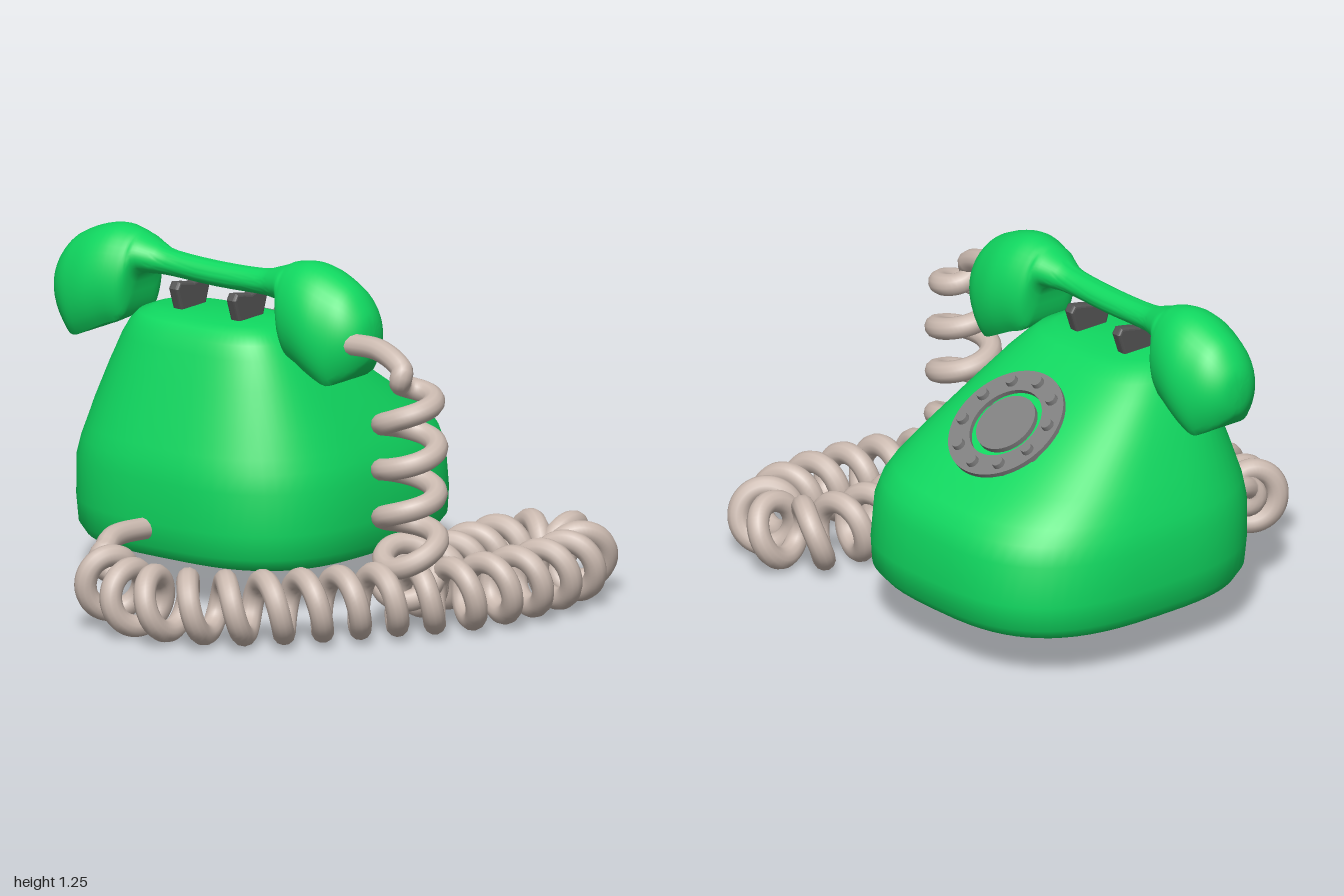
import * as THREE from 'three';
import { toCreasedNormals } from 'three/addons/utils/BufferGeometryUtils.js';

const mat = (color) => new THREE.MeshStandardMaterial({ color });
const green = mat(0x10d860), cordMat = mat(0xcbbab0), grey = mat(0x808080), dark = mat(0x555555);

function add(parent, name, geometry, material) {
  const mesh = new THREE.Mesh(geometry, material);
  mesh.name = name;
  parent.add(mesh);
  return mesh;
}

// Skin a list of closed rings with equal point counts
function loft(rings, crease) {
  const n = rings[0].length, index = [];
  for (let i = 0; i < rings.length - 1; i++) {
    for (let j = 0; j < n; j++) {
      const a = i * n + j, b = i * n + (j + 1) % n;
      index.push(a, a + n, b, b, a + n, b + n);
    }
  }
  const g = new THREE.BufferGeometry().setFromPoints(rings.flat());
  g.setIndex(index);
  return toCreasedNormals(g, crease);
}

// Housing: rounded-square slices, each [y, xMin, xMax, half depth]
function housingGeometry() {
  const levels = [
    [0.15, 0.23, 0.23, 0], [0.15, -0.28, 0.74, 0.5], [0.17, -0.34, 0.81, 0.55],
    [0.21, -0.365, 0.845, 0.575], [0.3, -0.375, 0.85, 0.58], [0.45, -0.375, 0.835, 0.575],
    [0.52, -0.365, 0.81, 0.555], [0.57, -0.35, 0.765, 0.535], [0.65, -0.325, 0.655, 0.5],
    [0.8, -0.275, 0.44, 0.425], [0.9, -0.24, 0.3, 0.37], [0.95, -0.22, 0.225, 0.335],
    [0.985, -0.195, 0.175, 0.3], [1.0, -0.15, 0.12, 0.25], [1.0, -0.01, -0.01, 0],
  ];
  const power = (v) => Math.sign(v) * Math.abs(v) ** (2 / 2.9);
  return loft(levels.map(([y, x0, x1, hz]) => Array.from({ length: 64 }, (_, j) => {
    const a = j / 64 * Math.PI * 2;
    return new THREE.Vector3((x0 + x1) / 2 + (x1 - x0) / 2 * power(Math.cos(a)), y, -0.29 + hz * power(Math.sin(a)));
  })), 0.9);
}

// Handset: slices along z, mirrored; each [distance from middle, top, bottom, half width, roundness below]
function handsetGeometry() {
  const half = [
    [0, 1.18, 1.09, 0.05, 1], [0.2, 1.187, 1.095, 0.052, 1], [0.27, 1.205, 1.092, 0.07, 1],
    [0.325, 1.225, 1.085, 0.095, 0.9], [0.345, 1.235, 0.99, 0.115, 0.75], [0.37, 1.242, 0.93, 0.135, 0.7],
    [0.43, 1.25, 0.905, 0.155, 0.7], [0.5, 1.238, 0.87, 0.165, 0.7], [0.57, 1.21, 0.84, 0.155, 0.7],
    [0.62, 1.18, 0.862, 0.135, 0.75], [0.66, 1.135, 0.893, 0.105, 0.85], [0.69, 1.08, 0.935, 0.06, 1],
    [0.7, 1.01, 1.005, 0, 1],
  ];
  const all = [...half.slice(1).reverse().map(([d, ...rest]) => [-d, ...rest]), ...half];
  const sides = new THREE.CatmullRomCurve3(all.map((s) => new THREE.Vector3(s[0], s[1], s[2])), false, 'catmullrom');
  const widths = new THREE.CatmullRomCurve3(all.map((s) => new THREE.Vector3(s[3], s[4], 0)), false, 'catmullrom');
  const rings = [];
  for (let i = 0; i <= 72; i++) {
    const p = sides.getPoint(i / 72), { x: w, y: k } = widths.getPoint(i / 72);
    rings.push(Array.from({ length: 40 }, (_, j) => {
      const a = j / 40 * Math.PI * 2;
      const s = (Math.max(Math.sin(a), -k) + k) / (1 + k);
      return new THREE.Vector3(-w * Math.cos(a), p.z + s * (p.y - p.z), p.x - 0.3);
    }));
  }
  return loft(rings, 0.8);
}

// Cord: a coil wound round a guide path, straightening out at both ends
function cordGeometry() {
  const guide = new THREE.CatmullRomCurve3([
    [-0.07, 1, 0.34], [-0.08, 1, 0.5], [-0.1, 0.94, 0.62], [-0.11, 0.8, 0.65], [-0.11, 0.5, 0.65],
    [-0.1, 0.28, 0.65], [0, 0.16, 0.56], [0.2, 0.14, 0.54], [0.5, 0.14, 0.52], [0.67, 0.14, 0.56],
    [0.745, 0.14, 0.68], [0.67, 0.14, 0.8], [0.5, 0.14, 0.85], [0.2, 0.14, 0.83], [0, 0.14, 0.77],
    [-0.15, 0.14, 0.66], [-0.3, 0.14, 0.56], [-0.48, 0.14, 0.43], [-0.63, 0.14, 0.28], [-0.74, 0.14, 0.05],
    [-0.73, 0.14, -0.13], [-0.68, 0.18, -0.26], [-0.57, 0.27, -0.34], [-0.3, 0.27, -0.34],
  ].map((p) => new THREE.Vector3(...p)));
  guide.arcLengthDivisions = 1500;
  const N = 480, length = guide.getLength(), frames = guide.computeFrenetFrames(N), points = [];
  let angle = 0;
  for (let i = 0; i <= N; i++) {
    const s = i / N * length, p = guide.getPointAt(i / N);
    const r = 0.097 * THREE.MathUtils.smoothstep(s, 0.27, 0.42) * THREE.MathUtils.smoothstep(length - s, 0.3, 0.46);
    angle += Math.PI * 2 * length / N / (p.y > 0.25 ? 0.17 : 0.138);
    points.push(p.addScaledVector(frames.normals[i], r * Math.cos(angle))
      .addScaledVector(frames.binormals[i], r * Math.sin(angle)));
  }
  const coil = new THREE.CatmullRomCurve3(points);
  coil.arcLengthDivisions = 4000;
  return new THREE.TubeGeometry(coil, 1400, 0.04, 12);
}

// Dial: finger ring with ten studs, centre plate and hub, tilted onto the slope
function createDial() {
  const dial = new THREE.Group();
  dial.name = 'dial';
  dial.position.set(0.49, 0.8, -0.305);
  dial.rotation.z = -0.625;
  const shape = new THREE.Shape().absarc(0, 0, 0.228, 0, Math.PI * 2);
  shape.holes.push(new THREE.Path().absarc(0, 0, 0.143, 0, Math.PI * 2, true));
  const ring = new THREE.ExtrudeGeometry(shape, { depth: 0.018, bevelEnabled: false, curveSegments: 40 });
  add(dial, 'fingerRing', ring.rotateX(-Math.PI / 2).translate(0, -0.009, 0), grey);
  add(dial, 'centrePlate', new THREE.CylinderGeometry(0.117, 0.117, 0.02, 40), grey);
  add(dial, 'hub', new THREE.CylinderGeometry(0.06, 0.06, 0.08, 24), grey).position.y = -0.05;
  for (let i = 0; i < 10; i++) {
    const a = i / 10 * Math.PI * 2;
    add(dial, 'stud', new THREE.CylinderGeometry(0.021, 0.027, 0.055, 16), grey)
      .position.set(0.186 * Math.cos(a), 0, 0.186 * Math.sin(a));
  }
  return dial;
}

// Cradle fork: flared bracket with a shallow dip for the handset
function cradleGeometry() {
  const shape = new THREE.Shape([
    [-0.05, 0.97], [0.05, 0.97], [0.085, 1.075], [0.075, 1.09], [0.045, 1.085],
    [0, 1.075], [-0.045, 1.085], [-0.075, 1.09], [-0.085, 1.075],
  ].map((p) => new THREE.Vector2(...p)));
  return new THREE.ExtrudeGeometry(shape, {
    depth: 0.02, bevelThickness: 0.012, bevelSize: 0.01, bevelSegments: 3,
  }).translate(0, 0, -0.01);
}

export function createModel() {
  const model = new THREE.Group();
  model.name = 'telephone';
  add(model, 'housing', housingGeometry(), green);
  add(model, 'handset', handsetGeometry(), green);
  for (const z of [-0.17, -0.43]) add(model, 'cradle', cradleGeometry(), dark).position.z = z;
  model.add(createDial());
  add(model, 'cord', cordGeometry(), cordMat);
  return model;
}
